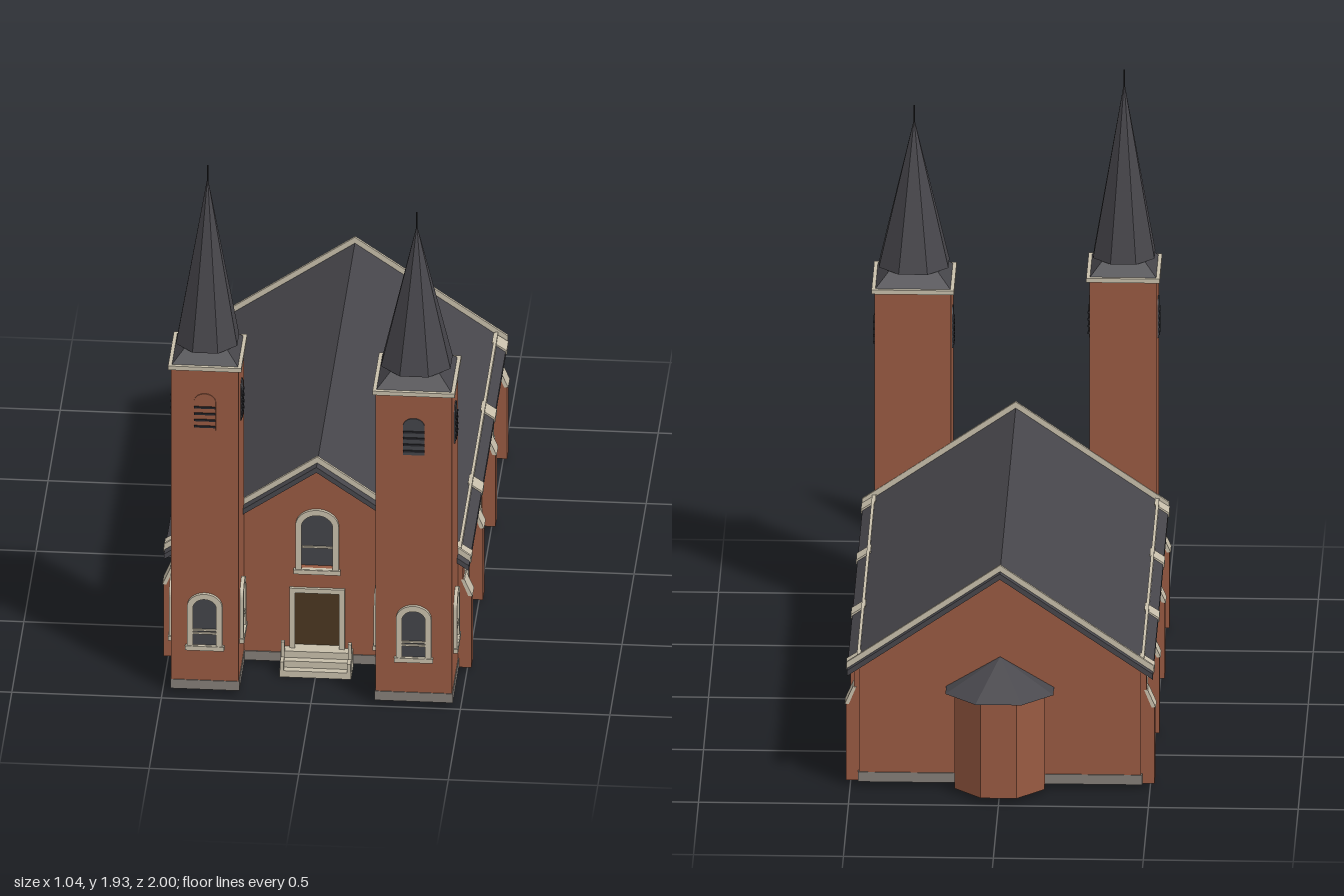
import * as THREE from 'three';

const mat = (name, color, side = THREE.FrontSide) => {
  const m = new THREE.MeshStandardMaterial({ color, side });
  m.name = name;
  return m;
};

export function createModel() {
  const root = new THREE.Group();
  root.name = 'church';
  const brick = mat('brick', 0x985a42);
  const slate = mat('slate', 0x47464b, THREE.DoubleSide);
  const stone = mat('paleStone', 0xc8bfab);
  const plinthGrey = mat('plinthGrey', 0x847e78);
  const glass = mat('darkGlass', 0x434449, THREE.DoubleSide);
  const wood = mat('doorWood', 0x4a3620, THREE.DoubleSide);
  const black = mat('louvreBlack', 0x252529);

  const add = (parent, name, geo, material, x = 0, y = 0, z = 0) => {
    const m = new THREE.Mesh(geo, material);
    m.name = name;
    m.position.set(x, y, z);
    parent.add(m);
    return m;
  };
  // Box given by its limits on each axis
  const box = (parent, name, material, x0, x1, y0, y1, z0, z1) =>
    add(parent, name, new THREE.BoxGeometry(x1 - x0, y1 - y0, z1 - z0), material,
      (x0 + x1) / 2, (y0 + y1) / 2, (z0 + z1) / 2);
  const poly = pts => new THREE.Shape(pts.map(p => new THREE.Vector2(p[0], p[1])));
  const extrude = (shape, depth) =>
    new THREE.ExtrudeGeometry(shape, { depth, bevelEnabled: false, curveSegments: 10 });
  // Faceted tapering prism whose flat sides face the axes; radii are to the flats
  const taper = (top, bottom, h, n) => {
    const k = 1 / Math.cos(Math.PI / n);
    const g = new THREE.CylinderGeometry(top * k, bottom * k, h, n, 1, false, Math.PI / n).toNonIndexed();
    g.computeVertexNormals();
    return g;
  };
  const arch = (w, y0, y1, x = 0) => {
    const r = w / 2, spring = y1 - r * 0.85;
    const s = new THREE.Shape();
    s.moveTo(x - r, y0);
    s.lineTo(x + r, y0);
    s.lineTo(x + r, spring);
    s.absellipse(x, spring, r, r * 0.85, 0, Math.PI, false);
    s.closePath();
    return s;
  };
  const group = (parent, name, x = 0, z = 0, turn = 0) => {
    const g = new THREE.Group();
    g.name = name;
    g.position.set(x, 0, z);
    g.rotation.y = turn;
    parent.add(g);
    return g;
  };

  // Arched window on a wall at local z = 0, facing +z
  const archedWindow = (parent, x, z, turn, w, y0, y1, bars, depth) => {
    const g = group(parent, 'archedWindow', x, z, turn);
    const iw = w - 0.04;
    const ring = arch(w, y0, y1);
    ring.holes.push(arch(iw, y0 + 0.005, y1 - 0.02));
    add(g, 'windowSurround', extrude(ring, 0.015), stone, 0, 0, -0.003);
    add(g, 'windowPane', new THREE.ShapeGeometry(arch(iw + 0.01, y0, y1 - 0.015)), glass, 0, 0, depth);
    for (const b of bars) box(g, 'windowBar', stone, -iw / 2, iw / 2, b - 0.003, b + 0.003, depth, depth + 0.006);
    box(g, 'windowSill', stone, -w / 2 - 0.006, w / 2 + 0.006, y0 - 0.012, y0 + 0.004, -0.003, 0.015);
  };

  // Belfry opening with louvres
  const belfry = (parent, x, z, turn, y0, pane) => {
    const g = group(parent, 'belfryOpening', x, z, turn);
    add(g, 'belfryPane', extrude(arch(0.073, y0, y0 + 0.138), 0.004), pane);
    for (let i = 0; i < 4; i++)
      box(g, 'louvre', black, -0.036, 0.036, y0 + 0.012 + i * 0.024, y0 + 0.019 + i * 0.024, 0, 0.008);
  };

  // Towers
  const tower = (name, x, z, half, wallTop, spireBase, spireTop, tip, louvreY, frontPane) => {
    const t = group(root, name, x, z);
    box(t, 'towerWalls', brick, -half, half, 0.015, wallTop, -half, half);
    const p = half + 0.003, c = half + 0.01;
    box(t, 'towerPlinth', plinthGrey, -p, p, 0.016, 0.05, -p, p);
    box(t, 'towerCornice', stone, -c, c, wallTop, wallTop + 0.015, -c, c);
    const sb = wallTop + 0.015, sh = spireBase - sb + 0.004;
    add(t, 'spireSkirt', taper(half * 0.6, half * 0.98, sh, 4), slate, 0, sb + sh / 2, 0);
    const h = spireTop - spireBase;
    add(t, 'spire', taper(0.003, half * 0.91, h, 8), slate, 0, spireBase + h / 2, 0);
    add(t, 'finial', new THREE.CylinderGeometry(0.003, 0.003, tip - spireTop + 0.02, 6), black,
      0, (tip + spireTop - 0.02) / 2, 0);
    for (const k of [-1, 0, 1]) {
      const turn = k * Math.PI / 2, wx = k * half, wz = k ? 0 : half;
      archedWindow(t, wx, wz, turn, 0.118, 0.18, 0.38, [0.23, 0.242], 0.003);
      belfry(t, wx, wz, turn, louvreY, k ? glass : frontPane);
    }
  };
  tower('tallTower', -0.358, 0.843, 0.1125, 1.222, 1.28, 1.875, 1.935, 0.995, brick);
  tower('shortTower', 0.343, 0.857, 0.1275, 1.172, 1.235, 1.735, 1.795, 0.947, glass);

  // Nave gables, open underneath
  const gable = () => poly([[-0.47, 0.015], [0.47, 0.015], [0.47, 0.427], [0, 0.75], [-0.47, 0.427]]);
  const front = gable();
  front.holes.push(arch(0.115, 0.37, 0.58));
  front.holes.push(poly([[-0.08, 0.06], [-0.08, 0.285], [0.08, 0.285], [0.08, 0.06]]));
  add(root, 'frontGable', extrude(front, 0.03), brick, 0, 0, 0.705);
  add(root, 'backGable', extrude(gable(), 0.03), brick, 0, 0, -0.825);
  archedWindow(root, 0, 0.735, 0, 0.145, 0.365, 0.595, [0.44], -0.022);

  // Side walls with windows and buttresses
  const windowZ = [0.477, -0.04, -0.557];
  for (const s of [1, -1]) {
    const side = group(root, s > 0 ? 'leftSide' : 'rightSide', s * 0.47, 0, s * Math.PI / 2);
    const wall = poly([[-0.71 * s, 0.015], [0.8 * s, 0.015], [0.8 * s, 0.427], [-0.71 * s, 0.427]]);
    for (const z of windowZ) wall.holes.push(arch(0.09, 0.17, 0.385, -s * z));
    add(side, 'sideWall', extrude(wall, 0.03), brick, 0, 0, -0.03);
    for (const z of windowZ) archedWindow(side, -s * z, 0, 0, 0.123, 0.165, 0.4, [0.26], -0.022);
    for (const z of [0.7, 0.22, -0.3, -0.78]) {
      const b = group(root, 'buttress', 0, z, s > 0 ? 0 : Math.PI);
      const prism = (name, m, w, pts) => add(b, name, extrude(poly(pts), w), m, 0, 0, -w / 2);
      prism('buttressBody', brick, 0.062, [[0.46, 0.015], [0.515, 0.015], [0.515, 0.28],
        [0.487, 0.35], [0.487, 0.42], [0.46, 0.42]]);
      prism('buttressSlope', stone, 0.064, [[0.505, 0.285], [0.519, 0.285], [0.492, 0.347], [0.48, 0.347]]);
      prism('buttressCap', stone, 0.066, [[0.465, 0.432], [0.514, 0.41], [0.514, 0.425], [0.465, 0.457]]);
    }
    box(root, 'sidePlinth', plinthGrey, s * 0.4715 - 0.0025, s * 0.4715 + 0.0025, 0.016, 0.05, -0.828, 0.735);
    box(root, 'eaveRail', stone, s * 0.474 - 0.005, s * 0.474 + 0.005, 0.435, 0.455, -0.825, 0.73);
  }
  for (const z of [-0.8265, 0.7365])
    box(root, 'endPlinth', plinthGrey, -0.473, 0.473, 0.016, 0.05, z - 0.0025, z + 0.0025);

  // Roof and gable copings
  const chevron = (half, top, thick) => {
    const drop = half * 0.686;
    return poly([[0, top], [-half, top - drop], [-half, top - drop - thick], [0, top - thick],
      [half, top - drop - thick], [half, top - drop]]);
  };
  add(root, 'naveRoof', extrude(chevron(0.51, 0.77, 0.02), 1.625), slate, 0, 0, -0.855);
  for (const z of [-0.831, 0.727])
    add(root, 'gableCoping', extrude(chevron(0.512, 0.792, 0.026), 0.01), stone, 0, 0, z);

  // Door, surround and steps
  const surround = poly([[-0.092, 0.06], [0.092, 0.06], [0.092, 0.297], [-0.092, 0.297]]);
  surround.holes.push(poly([[-0.074, 0.065], [-0.074, 0.28], [0.074, 0.28], [0.074, 0.065]]));
  add(root, 'doorSurround', extrude(surround, 0.014), stone, 0, 0, 0.732);
  box(root, 'door', wood, -0.08, 0.08, 0.06, 0.285, 0.71, 0.718);
  [0.82, 0.795, 0.77].forEach((z, i) =>
    box(root, 'step', stone, -0.12, 0.12, i * 0.024, (i + 1) * 0.024, 0.715, z));
  for (const s of [-1, 1]) {
    const x = s * 0.112;
    box(root, 'stepPost', stone, x - 0.006, x + 0.006, 0.02, 0.11, 0.765, 0.78);
    box(root, 'stepCheek', stone, x - 0.006, x + 0.006, 0.02, 0.055, 0.735, 0.818);
  }

  // Apse: faceted wall and a fan roof rising to the back gable
  const plan = (w, z1, w2, z2) => [[w, -0.815], [w, z1], [w2, z2], [-w2, z2], [-w, z1], [-w, -0.815]];
  const apseWall = extrude(poly(plan(0.15, -0.88, 0.06, -0.97).map(([x, z]) => [x, -z])), 0.345);
  apseWall.rotateX(-Math.PI / 2);
  add(root, 'apseWalls', apseWall, brick, 0, 0.015, 0);
  const eave = plan(0.18, -0.9, 0.077, -1);
  const tri = [];
  for (let i = 0; i < eave.length; i++) {
    const [ax, az] = eave[i], [bx, bz] = eave[(i + 1) % eave.length];
    tri.push(ax, 0.358, az, bx, 0.358, bz, 0, 0.465, -0.825);
    tri.push(bx, 0.358, bz, ax, 0.358, az, 0, 0.358, -0.825);
  }
  const apseRoof = new THREE.BufferGeometry();
  apseRoof.setAttribute('position', new THREE.Float32BufferAttribute(tri, 3));
  apseRoof.computeVertexNormals();
  add(root, 'apseRoof', apseRoof, slate);

  return root;
}
